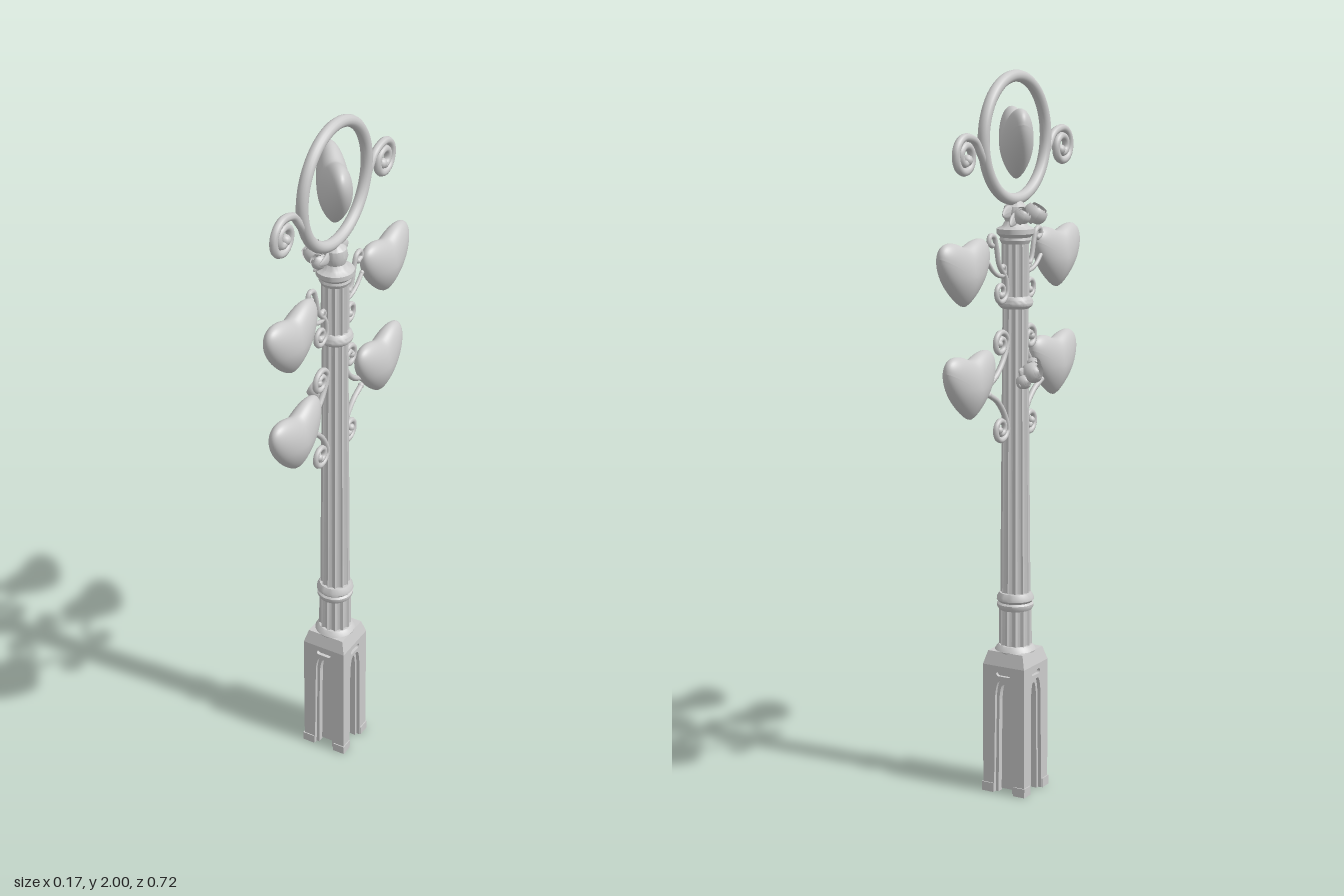
import * as THREE from 'three';
import { toCreasedNormals } from 'three/addons/utils/BufferGeometryUtils.js';

const metal = new THREE.MeshStandardMaterial({ color: 0xcccccc });
const petalMetal = new THREE.MeshStandardMaterial({ color: 0xcccccc, side: THREE.DoubleSide });

function add(parent, name, geometry, x = 0, y = 0, z = 0, material = metal) {
  const mesh = new THREE.Mesh(geometry, material);
  mesh.name = name;
  mesh.position.set(x, y, z);
  parent.add(mesh);
  return mesh;
}

// Turned moulding from [radius, height] pairs
function moulding(profile) {
  const points = profile.map(([r, y]) => new THREE.Vector2(r, y));
  return toCreasedNormals(new THREE.LatheGeometry(points, 32), 0.6);
}

// Tapered column with scalloped flutes
function flutedShaft(rBottom, rTop, y0, y1, flutes = 12) {
  const g = new THREE.CylinderGeometry(rTop, rBottom, y1 - y0, flutes * 8, 1, true);
  const p = g.attributes.position;
  for (let i = 0; i < p.count; i++) {
    const a = Math.atan2(p.getZ(i), p.getX(i));
    const k = 1 - 0.17 * Math.pow(Math.abs(Math.sin(a * flutes / 2)), 0.7);
    p.setXYZ(i, p.getX(i) * k, p.getY(i) + (y0 + y1) / 2, p.getZ(i) * k);
  }
  return toCreasedNormals(g, 0.7);
}

// Inflated heart lying in the yz plane: a sphere sheared upward away from its middle
function heartGeometry(width, height, thickness) {
  const g = new THREE.SphereGeometry(1, 64, 40);
  const p = g.attributes.position;
  for (let i = 0; i < p.count; i++) {
    const depth = p.getY(i), across = p.getX(i);
    const v = (0.85 * p.getZ(i) + 0.68 * Math.sqrt(across * across + 0.008) - 0.156) / 0.938;
    const taper = 1 - 0.3 * Math.pow(Math.max(0, -v), 2);
    p.setXYZ(i, depth * taper * thickness / 2, v * height / 2, across * width / 2);
  }
  g.computeVertexNormals();
  return g;
}

// Wrought scroll: lead-in points [outward, y], then a spiral closing on a small ball
function scroll(parent, name, side, lead, [cu, cy], r0, a0, a1, tube) {
  const points = lead.map(([u, y]) => new THREE.Vector3(0, y, side * u));
  for (let i = 0; i <= 24; i++) {
    const t = i / 24, a = THREE.MathUtils.degToRad(a0 + (a1 - a0) * t);
    const r = r0 * (1 - 0.72 * t);
    points.push(new THREE.Vector3(0, cy + r * Math.sin(a), side * (cu + r * Math.cos(a))));
  }
  const end = points[points.length - 1];
  add(parent, name, new THREE.TubeGeometry(new THREE.CatmullRomCurve3(points), 90, tube, 8));
  add(parent, name + 'End', new THREE.SphereGeometry(tube * 1.35, 10, 8), end.x, end.y, end.z);
  add(parent, name + 'Start', new THREE.SphereGeometry(tube * 1.1, 10, 8), 0, lead[0][1], side * lead[0][0]);
}

// Rose: cupped petals opening outward around a bud
function rose(size) {
  const group = new THREE.Group();
  group.name = 'rose';
  add(group, 'bud', new THREE.SphereGeometry(size * 0.3, 10, 8));
  for (let i = 0; i < 13; i++) {
    const r = size * (0.35 + 0.05 * i);
    const petal = new THREE.SphereGeometry(r, 8, 6, 0, 1.7, 0.55 + 0.035 * i, 1.4);
    const mesh = add(group, 'petal', petal, 0, -size * 0.02 * i, 0, petalMetal);
    mesh.rotation.y = i * 2.4;
  }
  return group;
}

// Broad leaf, its blade facing sideways and its tip drooping
function leaf(length) {
  const g = new THREE.SphereGeometry(1, 12, 10);
  const p = g.attributes.position;
  for (let i = 0; i < p.count; i++) {
    const t = p.getY(i);
    p.setXYZ(i, p.getX(i) * length * 0.1 - 0.12 * length * t * t, (t + 1) * length / 2,
      p.getZ(i) * length * 0.3 * (1 - 0.4 * t));
  }
  g.computeVertexNormals();
  return g;
}

function flowerCluster(parent, name, y, roses, leafSpots) {
  const group = new THREE.Group();
  group.name = name;
  group.position.y = y;
  for (const [x, dy, z, size, tilt] of roses) {
    const r = rose(size);
    r.position.set(x, dy, z);
    r.rotation.set(z * 8, 0, tilt);
    group.add(r);
  }
  for (const [x, dy, z, angle, length] of leafSpots) {
    add(group, 'leaf', leaf(length), x, dy, z).rotation.x = angle;
  }
  parent.add(group);
}

// One pedestal face with an arched notch of the given half width and height
function nichePanel(half, notch, top, depth, slotted) {
  const face = new THREE.Shape();
  face.moveTo(-half, 0);
  face.lineTo(-notch, 0);
  face.lineTo(-notch * 0.85, top - 0.045);
  face.quadraticCurveTo(-notch * 0.7, top, -notch * 0.3, top);
  face.lineTo(notch * 0.3, top);
  face.quadraticCurveTo(notch * 0.7, top, notch * 0.85, top - 0.045);
  face.lineTo(notch, 0);
  face.lineTo(half, 0);
  face.lineTo(half, 0.37);
  face.lineTo(-half, 0.37);
  if (slotted) {
    const slot = new THREE.Path();
    slot.absarc(0.016, 0.348, 0.007, -Math.PI / 2, Math.PI / 2);
    slot.absarc(-0.016, 0.348, 0.007, Math.PI / 2, Math.PI * 1.5);
    face.holes.push(slot);
  }
  return new THREE.ExtrudeGeometry(face, { depth, bevelEnabled: false, curveSegments: 8 });
}

// Square pedestal with a stepped arched niche in every face
function pedestal(parent) {
  const group = new THREE.Group();
  group.name = 'pedestal';
  const h = 0.066;
  const outer = nichePanel(h, 0.031, 0.33, 0.01, true);
  const inner = nichePanel(h - 0.01, 0.022, 0.315, 0.018, false);
  for (let i = 0; i < 4; i++) {
    const side = new THREE.Group();
    side.name = 'pedestalSide';
    side.rotation.y = i * Math.PI / 2;
    add(side, 'outerNichePanel', outer, 0, 0, h - 0.01);
    add(side, 'innerNichePanel', inner, 0, 0, h - 0.028);
    add(side, 'cornerFoot', new THREE.BoxGeometry(0.036, 0.026, 0.036), 0.051, 0.013, 0.051);
    group.add(side);
  }
  add(group, 'nicheCore', new THREE.BoxGeometry(0.078, 0.36, 0.078), 0, 0.185, 0);
  const cap = new THREE.CylinderGeometry(0.055 * Math.SQRT2, h * Math.SQRT2, 0.038, 4).toNonIndexed();
  cap.computeVertexNormals();
  add(group, 'slopedCap', cap, 0, 0.389, 0).rotation.y = Math.PI / 4;
  parent.add(group);
}

export function createModel() {
  const model = new THREE.Group();
  model.name = 'heartLampPost';
  const post = new THREE.Group();
  post.name = 'post';
  post.position.set(0.004, 0, 0.008);
  model.add(post);

  pedestal(post);

  // Column and its mouldings
  add(post, 'baseCollar', moulding([[0, 0.4], [0.055, 0.4], [0.057, 0.408], [0.052, 0.416], [0.046, 0.422], [0, 0.422]]));
  add(post, 'lowerShaft', flutedShaft(0.046, 0.045, 0.415, 0.53));
  add(post, 'lowerCollar', moulding([[0, 0.524], [0.046, 0.524], [0.051, 0.533], [0.051, 0.54], [0.046, 0.545],
    [0.052, 0.552], [0.051, 0.56], [0.044, 0.572], [0, 0.572]]));
  add(post, 'mainShaft', flutedShaft(0.042, 0.035, 0.56, 1.375));
  add(post, 'upperCollar', moulding([[0, 1.365], [0.038, 1.365], [0.047, 1.373], [0.049, 1.381], [0.046, 1.39], [0.038, 1.398], [0, 1.398]]));
  add(post, 'upperShaft', flutedShaft(0.038, 0.037, 1.39, 1.55));
  add(post, 'capital', moulding([[0, 1.54], [0.038, 1.54], [0.043, 1.55], [0.041, 1.557], [0.051, 1.567], [0.051, 1.58],
    [0.036, 1.587], [0.028, 1.6], [0.034, 1.62], [0.03, 1.64], [0.014, 1.655], [0, 1.655]]));

  // Hoop around the top heart
  add(post, 'topHoop', new THREE.TorusGeometry(0.163, 0.016, 14, 80), 0, 1.821, 0).rotation.y = Math.PI / 2;
  add(post, 'topHeart', heartGeometry(0.243, 0.188, 0.086), -0.004, 1.808, -0.003).rotation.y = Math.atan2(0.629, 0.777);

  // Mirrored hearts and scrollwork
  for (const side of [1, -1]) {
    add(post, 'upperHeart', heartGeometry(0.23, 0.172, 0.082), 0.008, 1.483, side * 0.246 - 0.007);
    add(post, 'lowerHeart', heartGeometry(0.23, 0.176, 0.082), 0.008, 1.182, side * 0.2235 - 0.002);

    scroll(post, 'hoopScroll', side, [[0.155, 1.76], [0.178, 1.79], [0.207, 1.823]],
      [0.255, 1.785], 0.05, 95, -500, 0.011);
    scroll(post, 'upperScroll', side, [[0.122, 1.545], [0.138, 1.552], [0.132, 1.57], [0.112, 1.567], [0.1, 1.54], [0.085, 1.49], [0.052, 1.452]],
      [0.076, 1.416], 0.032, 165, 640, 0.007);
    scroll(post, 'upperBrace', side, [[0.142, 1.5], [0.115, 1.475], [0.09, 1.462]],
      [0.068, 1.477], 0.02, 300, 60, 0.006);
    for (const flip of [1, -1]) {
      scroll(post, 'lowerScroll', side,
        [[0.142, 1.16 + flip * 0.012], [0.098, 1.16 + flip * 0.036], [0.06, 1.16 + flip * 0.078]],
        [0.077, 1.16 + flip * 0.116], 0.035, -flip * 190, -flip * 190 - flip * 520, 0.008);
    }
  }

  // Rose clusters on the side of the post
  flowerCluster(post, 'topRoses', 1.622,
    [[-0.06, 0.005, 0.015, 0.036, 0.6], [-0.04, 0, -0.025, 0.027, 0.6], [-0.024, 0, 0.05, 0.024, 0.3]],
    [[0, 0.008, 0.022, 1.75, 0.05], [-0.02, -0.005, 0.022, 2, 0.05],
      [0, 0.008, -0.022, -1.75, 0.055], [-0.02, -0.005, -0.022, -2, 0.055]]);
  flowerCluster(post, 'lowerRoses', 1.19,
    [[-0.063, 0.005, 0, 0.034, 1.2], [-0.048, 0.02, 0.028, 0.024, 1.2], [-0.048, -0.018, -0.026, 0.024, 1.2]],
    [[-0.038, 0, 0.015, 1.2, 0.04], [-0.038, -0.01, 0.015, 2.1, 0.04],
      [-0.038, 0, -0.015, -1.2, 0.04], [-0.038, -0.01, -0.015, -2.1, 0.04]]);

  return model;
}
